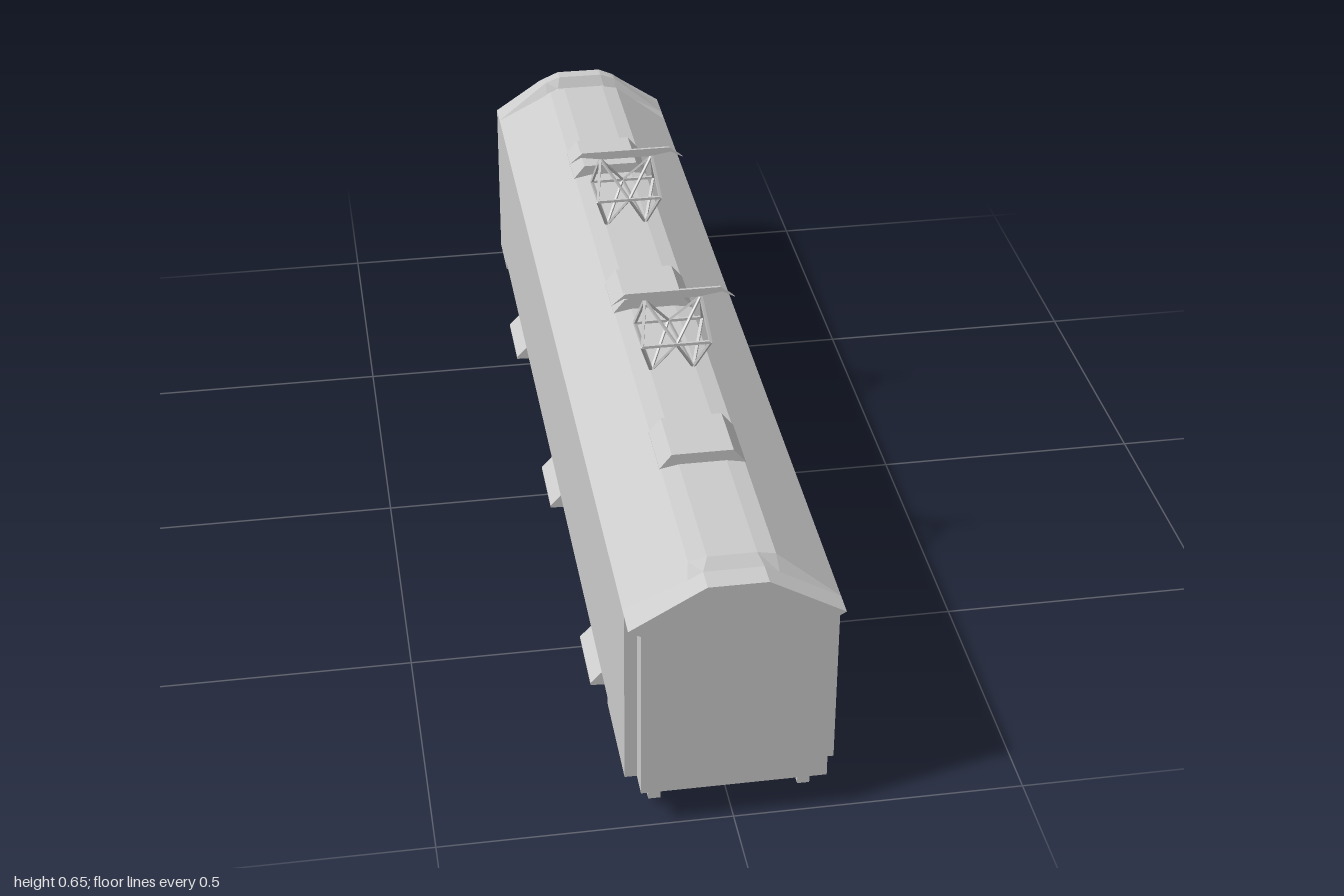
import * as THREE from 'three';

const mat = new THREE.MeshStandardMaterial({ color: 0xcccccc, flatShading: true });
const thin = new THREE.MeshStandardMaterial({ color: 0xcccccc, flatShading: true, side: THREE.DoubleSide });

function add(parent, name, geometry, x = 0, y = 0, z = 0, material = mat) {
  const mesh = new THREE.Mesh(geometry, material);
  mesh.name = name;
  mesh.position.set(x, y, z);
  parent.add(mesh);
  return mesh;
}

// box given by its limits on each axis
function block(parent, name, x0, x1, y0, y1, z0, z1) {
  return add(parent, name, new THREE.BoxGeometry(x1 - x0, y1 - y0, z1 - z0),
    (x0 + x1) / 2, (y0 + y1) / 2, (z0 + z1) / 2);
}

// straight bar of rectangular section between two points
function bar(parent, name, a, b, w = 0.005, h = w) {
  const p = new THREE.Vector3(...a), q = new THREE.Vector3(...b);
  const mesh = add(parent, name, new THREE.BoxGeometry(w, h, p.distanceTo(q)));
  mesh.position.copy(p).lerp(q, 0.5);
  mesh.lookAt(q);
  return mesh;
}

// symmetric cross-section: pairs list the +x half from bottom to top
function section(z, ...half) {
  const left = half.map(([x, y]) => [-x, y]).reverse();
  return [...half, ...left].map(([x, y]) => [x, y, z]);
}

// skin over sections running from +z to -z, closed at both ends
function loft(sections) {
  const n = sections[0].length, index = [];
  for (let s = 0; s < sections.length - 1; s++) {
    for (let i = 0; i < n; i++) {
      const j = (i + 1) % n, a = s * n, b = a + n;
      index.push(a + i, b + i, b + j, a + i, b + j, a + j);
    }
  }
  const last = (sections.length - 1) * n;
  for (let i = 1; i < n - 1; i++) {
    index.push(0, i, i + 1, last, last + i + 1, last + i);
  }
  const g = new THREE.BufferGeometry();
  g.setAttribute('position', new THREE.Float32BufferAttribute(sections.flat(2), 3));
  g.setIndex(index);
  const flat = g.toNonIndexed();
  flat.computeVertexNormals();
  return flat;
}

// polygon of [z, y] points extruded from x0 to x1
function sidePlate(parent, name, points, x0, x1) {
  const shape = new THREE.Shape(points.map(([z, y]) => new THREE.Vector2(-z, y)));
  const g = new THREE.ExtrudeGeometry(shape, { depth: x1 - x0, bevelEnabled: false });
  g.rotateY(Math.PI / 2);
  return add(parent, name, g, x0, 0, 0);
}

function buildBody(parent) {
  const E = [0.178, 0.405], high = [[0.072, 0.489], [0.041, 0.495]], low = [[0.075, 0.464], [0.05, 0.478]];
  const B = [0.178, 0.085];
  // main shell, roof dip behind the cab, then the tapering cab with a recessed face
  add(parent, 'bodyShell', loft([
    section(0.957, B, E, ...low),
    section(0.94, B, E, ...high),
    section(-0.812, B, E, ...high),
    section(-0.828, B, E, ...low),
    section(-0.85, B, E, ...low),
    section(-0.862, B, E, [0.075, 0.488], [0.045, 0.499]),
    section(-0.893, B, E, [0.075, 0.484], [0.045, 0.497]),
    section(-0.914, B, E, [0.085, 0.468], [0.05, 0.482]),
    section(-0.936, [0.15, 0.085], [0.15, 0.405], [0.09, 0.448], [0.05, 0.46]),
    section(-0.958, [0.124, 0.085], [0.124, 0.4], [0.098, 0.42], [0.05, 0.428]),
    section(-0.958, [0.114, 0.095], [0.114, 0.393], [0.094, 0.41], [0.05, 0.418]),
    section(-0.942, [0.114, 0.095], [0.114, 0.393], [0.094, 0.41], [0.05, 0.418]),
  ]));
  block(parent, 'cabLowerPanel', -0.114, 0.114, 0.095, 0.25, -0.947, -0.935);

  // narrow end wall under an overhanging roof
  add(parent, 'endWall', loft([1, 0.95].map(z =>
    section(z, [0.157, 0.07], [0.157, 0.398], [0.075, 0.455], [0.05, 0.468]))));
  add(parent, 'endRoof', loft([1, 0.955].map(z => section(z, [0.157, 0.393], E, ...low))));

  for (const s of [-1, 1]) {
    // sill along the body with deeper skirts at both ends
    const sides = (a, b) => (s > 0 ? [a, b] : [-b, -a]);
    block(parent, 'sill', ...sides(0.145, 0.17), 0.07, 0.086, -0.8, 0.78);
    block(parent, 'endSkirt', ...sides(0.155, 0.178), 0.072, 0.086, 0.76, 0.957);
    block(parent, 'cabSkirt', ...sides(0.155, 0.178), 0.068, 0.086, -0.914, -0.8);
  }
}

function buildRoofBox(z) {
  const g = loft([[0.058, 0.47], [0.058, 0.47], [-0.058, 0.47]].slice(1).map(([dz, y]) =>
    section(z + dz, [0.074, y], [0.074, 0.489], [0.053, 0.515])));
  return g;
}

function buildPantograph() {
  const group = new THREE.Group();
  group.name = 'pantograph';
  for (const f of [-1, 1]) {
    const mid = [0, 0.567, f * 0.043];
    bar(group, 'crossBar', [-0.061, 0.567, f * 0.043], [0.061, 0.567, f * 0.043]);
    for (const s of [-1, 1]) {
      const foot = [s * 0.038, 0.492, 0], knee = [s * 0.061, 0.567, f * 0.043], top = [s * 0.05, 0.637, 0];
      bar(group, 'lowerArm', foot, knee);
      bar(group, 'upperArm', knee, top);
      bar(group, 'lowerBrace', foot, mid, 0.004);
      bar(group, 'upperBrace', mid, top, 0.004);
    }
  }
  // contact bow with drooping horns
  const bow = new THREE.Shape([[-0.111, 0.631], [-0.088, 0.644], [-0.045, 0.637], [0.045, 0.637], [0.088, 0.644],
    [0.111, 0.631], [0.085, 0.653], [-0.085, 0.653]].map(p => new THREE.Vector2(...p)));
  add(group, 'contactBow', new THREE.ExtrudeGeometry(bow, { depth: 0.005, bevelEnabled: false }), 0, 0, -0.0025);
  return group;
}

// one side of a bogie on +x; end is the direction of the nearer car end
function buildBogieSide(end) {
  const group = new THREE.Group();
  group.name = 'bogieSide';
  for (const dz of [-0.12, 0.12]) {
    const wheel = add(group, 'wheel', new THREE.CylinderGeometry(0.044, 0.044, 0.019, 20), 0.1275, 0.044, dz);
    wheel.rotation.z = Math.PI / 2;
    const hub = add(group, 'axleBox', new THREE.CylinderGeometry(0.018, 0.018, 0.022, 8), 0.15, 0.044, dz);
    hub.rotation.z = Math.PI / 2;
    block(group, 'axleGuide', 0.14, 0.157, 0.03, 0.072, dz - 0.024, dz + 0.024);
  }
  // cranked side frame
  sidePlate(group, 'sideFrame', [[-0.18, 0.055], [-0.15, 0.035], [-0.085, 0.035], [-0.05, 0.05], [0.05, 0.05], [0.085, 0.035],
    [0.15, 0.035], [0.18, 0.055], [0.18, 0.07], [-0.18, 0.07]], 0.138, 0.15);
  block(group, 'springPlank', 0.14, 0.162, 0.048, 0.058, -0.045, 0.045);
  for (const dz of [-0.024, 0.024]) {
    add(group, 'spring', new THREE.CylinderGeometry(0.012, 0.012, 0.03, 8), 0.15, 0.07, dz);
  }
  // brake and guard bracket toward the car end
  const e = end;
  sidePlate(group, 'endBracket', [[e * 0.17, 0.08], [e * 0.17, 0.035], [e * 0.195, 0.02], [e * 0.222, 0.02], [e * 0.222, 0.08]],
    0.117, 0.138);
  return group;
}

// underfloor equipment: a side plate with transverse ribs on +x
function buildEquipment(z0, z1) {
  const group = new THREE.Group();
  group.name = 'underfloorEquipment';
  block(group, 'equipmentPlate', 0.145, 0.151, 0.04, 0.086, z0, z1);
  for (let i = 0; i <= 9; i++) {
    const z = z0 + 0.003 + (z1 - z0 - 0.006) * i / 9;
    block(group, 'rib', 0.12, 0.156, i % 3 ? 0.045 : 0.036, 0.086, z - 0.003, z + 0.003);
  }
  return group;
}

function buildCabEquipment(parent) {
  // coupler and its carrier
  block(parent, 'couplerShank', -0.01, 0.01, 0.078, 0.096, -0.985, -0.92);
  block(parent, 'couplerHead', -0.014, 0.014, 0.074, 0.108, -1, -0.98);
  block(parent, 'couplerCarrier', -0.08, 0.08, 0.064, 0.078, -0.962, -0.925);
  for (const s of [-1, 1]) {
    block(parent, 'carrierPost', s * 0.07 - 0.012, s * 0.07 + 0.012, 0.064, 0.115, -0.962, -0.94);
    block(parent, 'couplerGuide', s * 0.032 - 0.006, s * 0.032 + 0.006, 0.07, 0.105, -0.975, -0.94);
  }
  // curved slatted pilot
  const top = t => [0.116 * t, 0.053, -0.915 - 0.035 * (1 - t * t)];
  const low = t => [0.112 * t, 0.033 - 0.019 * (1 - t * t), -0.925 - 0.058 * (1 - t * t)];
  const n = 12;
  for (let i = 0; i <= n; i++) {
    const t = -1 + 2 * i / n, u = t + 2 / n;
    bar(parent, 'pilotSlat', top(t), low(t), 0.008, 0.004);
    if (i < n) {
      bar(parent, 'pilotTopRail', top(t), top(u), 0.005, 0.007);
      bar(parent, 'pilotBottomRail', low(t), low(u), 0.006, 0.008);
    }
  }
  for (const s of [-1, 1]) bar(parent, 'pilotStay', [s * 0.112, 0.05, -0.918], [s * 0.13, 0.075, -0.85], 0.008);
}

export function createModel() {
  const model = new THREE.Group();
  model.name = 'electricRailcar';
  buildBody(model);
  for (const z of [0.612, 0.085, -0.462]) add(model, 'roofBox', buildRoofBox(z));
  for (const z of [0.358, -0.193]) {
    const p = buildPantograph();
    p.position.z = z;
    model.add(p);
  }
  for (const s of [-1, 1]) {
    const side = new THREE.Group();
    side.name = s > 0 ? 'leftRunningGear' : 'rightRunningGear';
    for (const [z, end] of [[0.735, 1], [-0.607, -1]]) {
      const bogie = buildBogieSide(end);
      bogie.position.z = z;
      side.add(bogie);
    }
    side.add(buildEquipment(0.16, 0.54), buildEquipment(-0.4, -0.015));
    // sloped door steps
    for (const z of [0.622, 0.066, -0.494]) {
      const shape = new THREE.Shape([[0.15, 0.058], [0.198, 0.06], [0.198, 0.065], [0.178, 0.086], [0.15, 0.086]]
        .map(p => new THREE.Vector2(...p)));
      add(side, 'doorStep', new THREE.ExtrudeGeometry(shape, { depth: 0.136, bevelEnabled: false }), 0, 0, z - 0.068);
    }
    block(side, 'centreBox', 0.135, 0.155, 0.045, 0.086, -0.005, 0.15);
    side.scale.x = s;
    model.add(side);
  }
  buildCabEquipment(model);
  return model;
}
